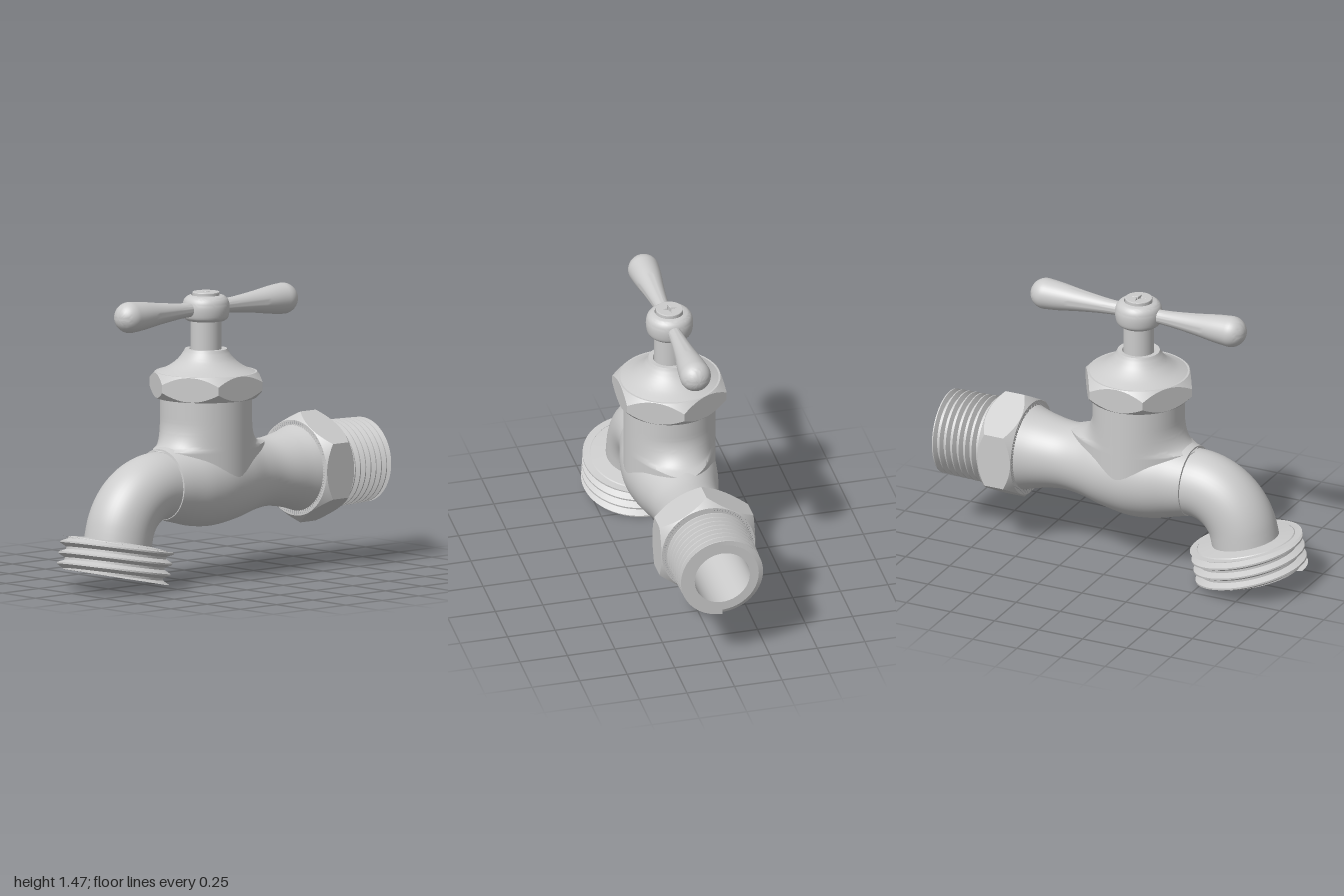
import * as THREE from 'three';
import { toCreasedNormals } from 'three/addons/utils/BufferGeometryUtils.js';

const material = new THREE.MeshStandardMaterial({ color: 0xcccccc });
const STEM_Z = 0.077;
const PIPE_Y = 0.5;

function part(name, geometry, x = 0, y = 0, z = 0) {
  const mesh = new THREE.Mesh(geometry, material);
  mesh.name = name;
  mesh.position.set(x, y, z);
  return mesh;
}

// Turned part from [radius, height] pairs, listed so that faces point outwards
function turned(points, segments = 64, crease = 0.6) {
  const profile = points.map(([r, y]) => new THREE.Vector2(r, y));
  return toCreasedNormals(new THREE.LatheGeometry(profile, segments), crease);
}

// Smooth curve through a few profile points
function smooth(points, n = 40) {
  const curve = new THREE.SplineCurve(points.map(([r, y]) => new THREE.Vector2(r, y)));
  return curve.getPoints(n).map(p => [p.x, p.y]);
}

// Hexagonal nut whose corners are cut back by a cone at both ends
function hexNut(flat, height) {
  const profile = [[0, 0], [1, 0], [1, 0.01], [1, height - 0.01], [1, height], [0, height]];
  const geometry = new THREE.LatheGeometry(profile.map(p => new THREE.Vector2(...p)), 96);
  const pos = geometry.attributes.position;
  for (let i = 0; i < pos.count; i++) {
    const row = i % 6, phi = Math.floor(i / 6) / 96 * Math.PI * 2;
    const hex = flat / Math.cos((phi % (Math.PI / 3)) - Math.PI / 6);
    const cut = (hex - flat) * 1.05 + 0.002;
    const r = row === 0 || row === 5 ? 0 : row === 2 || row === 3 ? hex : flat - 0.002;
    const y = row < 2 ? 0 : row === 2 ? cut : row === 3 ? height - cut : height;
    pos.setXYZ(i, r * Math.sin(phi), y, r * Math.cos(phi));
  }
  return toCreasedNormals(geometry, 0.3);
}

// Helical thread: a toothed lathe sheared by one pitch per turn, clipped at both ends
function thread(root, depth, pitch, length, taper = 0) {
  const profile = [];
  for (let y = -pitch; y < length + pitch; y += pitch) {
    for (const [t, d] of [[0, 0], [0.2, 0], [0.52, 1], [0.68, 1]]) {
      profile.push(new THREE.Vector2(root + d * depth, y + t * pitch));
    }
  }
  const segments = 72, n = profile.length;
  const geometry = new THREE.LatheGeometry(profile, segments);
  const pos = geometry.attributes.position;
  for (let i = 0; i < pos.count; i++) {
    const shift = Math.floor(i / n) / segments * pitch;
    const y = THREE.MathUtils.clamp(pos.getY(i) + shift, 0, length);
    const s = 1 + taper * y / length;
    pos.setXYZ(i, pos.getX(i) * s, y, pos.getZ(i) * s);
  }
  return toCreasedNormals(geometry, 0.4);
}

// Upright valve housing, flared at its foot along the pipe
function housing() {
  const geometry = new THREE.CylinderGeometry(0.235, 0.235, 0.45, 72, 45, true);
  geometry.translate(0, 0.715, 0);
  const pos = geometry.attributes.position;
  for (let i = 0; i < pos.count; i++) {
    const t = THREE.MathUtils.clamp((0.82 - pos.getY(i)) / 0.15, 0, 1);
    const z = pos.getZ(i), s = z / 0.235;
    const flare = (z > 0 ? 0.09 : 0.14) * (1 - Math.sqrt(1 - t * t));
    pos.setZ(i, z + Math.sign(z) * flare * s ** 4);
  }
  return toCreasedNormals(geometry, 0.9);
}

// Cross-slotted screw head
function screwHead() {
  const shape = new THREE.Shape().absarc(0, 0, 0.066, 0, Math.PI * 2);
  const star = new THREE.Path();
  for (let i = 0; i < 8; i++) {
    const r = i % 2 ? 0.014 : 0.044, a = i * Math.PI / 4;
    star[i ? 'lineTo' : 'moveTo'](r * Math.cos(a), r * Math.sin(a));
  }
  star.closePath();
  shape.holes.push(star);
  const geometry = new THREE.ExtrudeGeometry(shape, {
    depth: 0.022, bevelThickness: 0.004, bevelSize: 0.004, bevelSegments: 2, curveSegments: 32
  });
  return geometry.rotateX(-Math.PI / 2);
}

export function createModel() {
  const model = new THREE.Group();
  model.name = 'gardenTap';

  // Horizontal body, swelling under the valve
  const bodyProfile = smooth([[0.222, -0.54], [0.195, -0.45], [0.175, -0.32], [0.187, -0.2],
    [0.218, -0.07], [0.238, 0.077], [0.229, 0.2], [0.202, 0.31], [0.182, 0.39]]);
  bodyProfile.push([0.15, 0.395]);
  model.add(part('body', turned(bodyProfile).rotateX(Math.PI / 2), 0, PIPE_Y, 0));
  model.add(part('valveHousing', housing(), 0, 0, STEM_Z));

  // Curved spout
  const bend = 0.28, tilt = 0.21, path = [];
  path.push(new THREE.Vector3(0, 0.495, 0.3), new THREE.Vector3(0, 0.495, 0.35));
  for (let i = 0; i <= 10; i++) {
    const a = i / 10 * (Math.PI / 2 - tilt);
    path.push(new THREE.Vector3(0, 0.495 - bend * (1 - Math.cos(a)), 0.4 + bend * Math.sin(a)));
  }
  const end = path[path.length - 1];
  path.push(new THREE.Vector3(0, end.y - 0.07 * Math.cos(tilt), end.z + 0.07 * Math.sin(tilt)));
  model.add(part('spout', new THREE.TubeGeometry(new THREE.CatmullRomCurve3(path), 48, 0.174, 48)));

  // Threaded hose outlet with its bore
  const outlet = new THREE.Group();
  outlet.name = 'hoseOutlet';
  outlet.position.set(0, 0.058, 0.72);
  outlet.rotation.x = -tilt;
  outlet.add(part('outletCore', turned([[0, 0.2], [0.135, 0.2], [0.135, 0], [0.256, 0],
    [0.256, 0.165], [0.25, 0.172], [0.17, 0.18]])));
  outlet.add(part('outletThread', thread(0.255, 0.036, 0.055, 0.168)));
  model.add(outlet);

  // Threaded inlet with its bore, and the hexagon in front of it
  const inlet = new THREE.Group();
  inlet.name = 'pipeInlet';
  inlet.position.set(0, PIPE_Y, -1);
  inlet.rotation.x = Math.PI / 2;
  inlet.add(part('inletCore', turned([[0, 0.42], [0.145, 0.42], [0.145, 0], [0.192, 0], [0.196, 0.29]])));
  inlet.add(part('inletThread', thread(0.191, 0.026, 0.037, 0.285, 0.04)));
  // ring-shaped hexagon hides the end of the bore
  inlet.add(part('inletNut', hexNutRing()));
  model.add(inlet);

  // Bonnet: nut, flared cap, stem
  model.add(part('bonnetNut', hexNut(0.262, 0.13), 0, 0.925, STEM_Z));
  const cap = smooth([[0.255, 1.053], [0.195, 1.08], [0.148, 1.115], [0.12, 1.15], [0.108, 1.172]], 20);
  model.add(part('bonnetCap', turned([...cap, [0.085, 1.172], [0.078, 1.16]]), 0, 0, STEM_Z));
  model.add(part('stem', new THREE.CylinderGeometry(0.078, 0.078, 0.2, 40), 0, 1.24, STEM_Z));

  // Handle: hub, screw and two club-shaped arms
  const handle = new THREE.Group();
  handle.name = 'handle';
  handle.position.set(0, 1.38, STEM_Z);
  const hub = smooth([[0.098, -0.062], [0.114, -0.045], [0.121, 0], [0.115, 0.038], [0.098, 0.06], [0.076, 0.068]], 20);
  handle.add(part('hub', turned([[0, -0.064], ...hub, [0.072, 0.06], [0, 0.06]])));
  handle.add(part('screw', screwHead(), 0, 0.058, 0));
  const arm = smooth([[0.035, 0.08], [0.04, 0.18], [0.055, 0.32], [0.072, 0.44], [0.08, 0.525]], 20);
  for (let i = 1; i <= 10; i++) {
    const a = i / 10 * Math.PI / 2;
    arm.push([i === 10 ? 0 : 0.08 * Math.cos(a), 0.525 + 0.08 * Math.sin(a)]);
  }
  for (const side of [1, -1]) {
    handle.add(part(side > 0 ? 'frontArm' : 'backArm', turned(arm, 40).rotateX(side * Math.PI / 2)));
  }
  model.add(handle);
  return model;
}

// Inlet hexagon, opened in the middle so the bore runs through it
function hexNutRing() {
  const geometry = hexNut(0.247, 0.19);
  const pos = geometry.attributes.position;
  for (let i = 0; i < pos.count; i++) {
    const x = pos.getX(i), z = pos.getZ(i);
    if (Math.hypot(x, z) > 0.01) continue;
    // open each cap triangle towards its own rim
    const first = i - i % 3;
    let cx = 0, cz = 0;
    for (let k = first; k < first + 3; k++) {
      if (Math.hypot(pos.getX(k), pos.getZ(k)) > 0.2) { cx += pos.getX(k); cz += pos.getZ(k); }
    }
    const s = 0.16 / Math.hypot(cx, cz);
    pos.setXYZ(i, cx * s, pos.getY(i), cz * s);
  }
  return geometry.translate(0, 0.28, 0);
}
